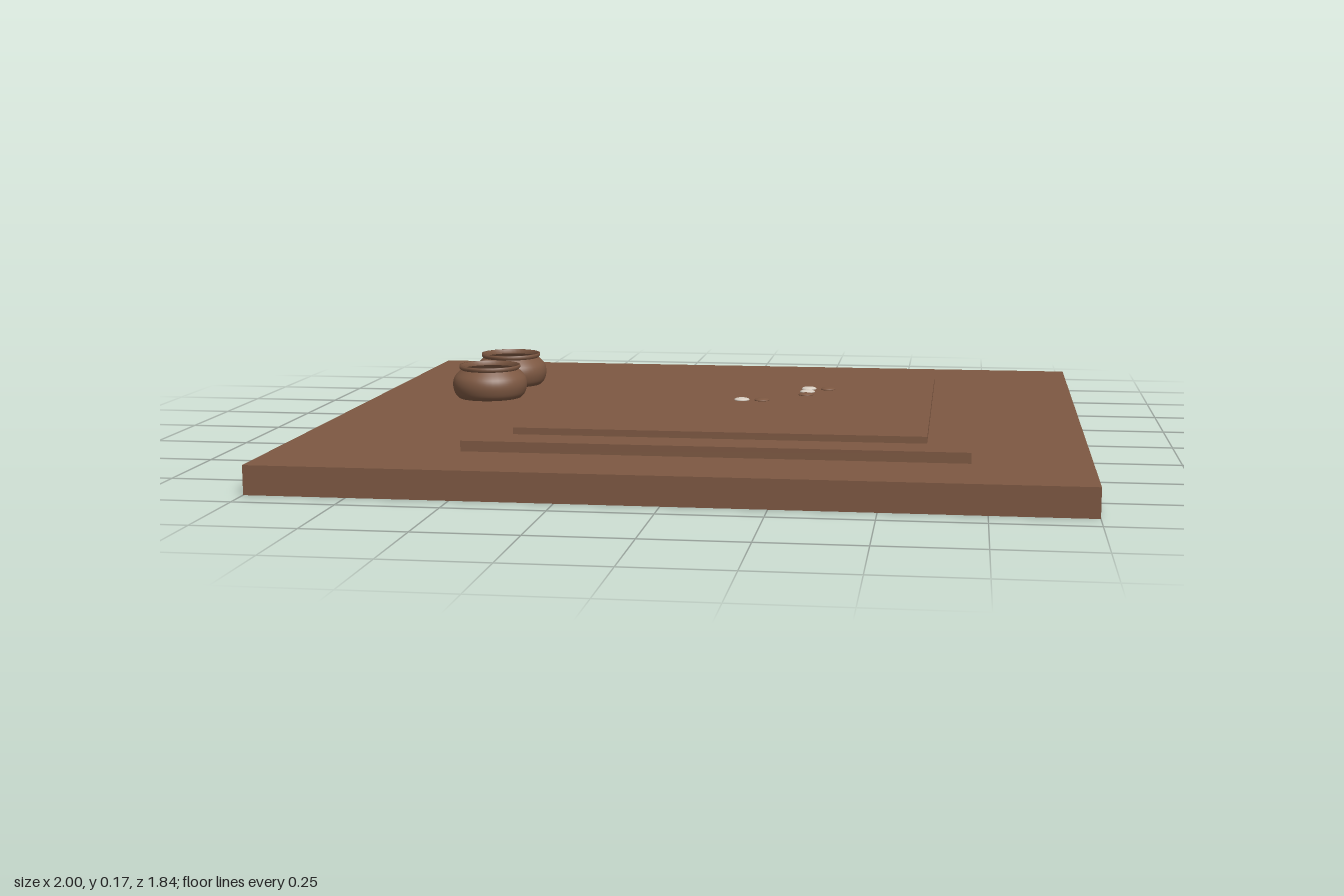
import * as THREE from 'three';

const wood = new THREE.MeshStandardMaterial({ color: 0x7d5842, side: THREE.DoubleSide });
wood.name = 'brown wood';
const ivory = new THREE.MeshStandardMaterial({ color: 0xd6ccc0, side: THREE.DoubleSide });
ivory.name = 'ivory';

function add(parent, name, geometry, material, x = 0, y = 0, z = 0) {
  const mesh = new THREE.Mesh(geometry, material);
  mesh.name = name;
  mesh.position.set(x, y, z);
  parent.add(mesh);
  return mesh;
}

// Box with no underside, placed by its bounds
function openBox(parent, name, [x0, x1], [y0, y1], [z0, z1]) {
  const geometry = new THREE.BoxGeometry(x1 - x0, y1 - y0, z1 - z0);
  const index = Array.from(geometry.index.array);
  index.splice(18, 6);
  geometry.setIndex(index);
  geometry.clearGroups();
  return add(parent, name, geometry, wood, (x0 + x1) / 2, (y0 + y1) / 2, (z0 + z1) / 2);
}

// Flattened round playing piece
const stoneGeometry = new THREE.SphereGeometry(0.021, 20, 12).scale(1, 0.28, 1);
function stone(parent, name, material, x, y, z) {
  return add(parent, name, stoneGeometry, material, x, y, z);
}

// Round-bellied bowl with a thin collar and hollow inside
function bowl(parent, name, x, z) {
  const group = new THREE.Group();
  group.name = name;
  group.position.set(x, 0.0725, z);
  const outer = new THREE.SplineCurve([
    [0.09, 0], [0.101, 0.013], [0.107, 0.037], [0.102, 0.06], [0.083, 0.081],
  ].map(([r, y]) => new THREE.Vector2(r, y))).getPoints(16);
  add(group, 'bowlBody', new THREE.LatheGeometry(outer, 40), wood);
  const rim = [[0.083, 0.081], [0.088, 0.086], [0.088, 0.094], [0.082, 0.094], [0.081, 0.081]]
    .map(([r, y]) => new THREE.Vector2(r, y));
  add(group, 'bowlRim', new THREE.LatheGeometry(rim, 40), wood);
  const inner = new THREE.SplineCurve([
    [0.081, 0.081], [0.097, 0.058], [0.1, 0.037], [0.094, 0.015], [0.085, 0.004],
  ].map(([r, y]) => new THREE.Vector2(r, y))).getPoints(12);
  add(group, 'bowlLining', new THREE.LatheGeometry(inner, 40), wood);
  add(group, 'bowlFloor', new THREE.CircleGeometry(0.085, 40).rotateX(-Math.PI / 2), wood, 0, 0.004, 0);
  parent.add(group);
  return group;
}

export function createModel() {
  const model = new THREE.Group();
  model.name = 'boardGameTable';

  // Slab and stepped board
  openBox(model, 'tableTop', [-1, 1], [0, 0.0725], [-0.922, 0.922]);
  openBox(model, 'boardBase', [-0.534, 0.711], [0.0725, 0.099], [-0.565, 0.68]);
  openBox(model, 'boardTop', [-0.427, 0.604], [0.099, 0.116], [-0.459, 0.572]);

  // Pieces in play
  for (const [x, z] of [[0.256, -0.165], [0.256, -0.109], [0.09, 0.057]])
    stone(model, 'lightStone', ivory, x, 0.117, z);
  for (const [x, z] of [[0.31, -0.163], [0.256, -0.053], [0.145, 0.057]])
    stone(model, 'darkStone', wood, x, 0.117, z);

  // Bowls, one filled with light pieces
  bowl(model, 'emptyBowl', -0.674, -0.184);
  const filled = bowl(model, 'filledBowl', -0.674, -0.446);
  add(filled, 'lightFill', new THREE.CylinderGeometry(0.084, 0.084, 0.008, 40), ivory, 0, 0.009, 0);
  for (const [x, z] of [[-0.037, 0.016], [0.01, -0.014], [0.018, -0.006], [0.021, 0.055]])
    stone(filled, 'bowlStone', ivory, x, 0.016, z);

  return model;
}
